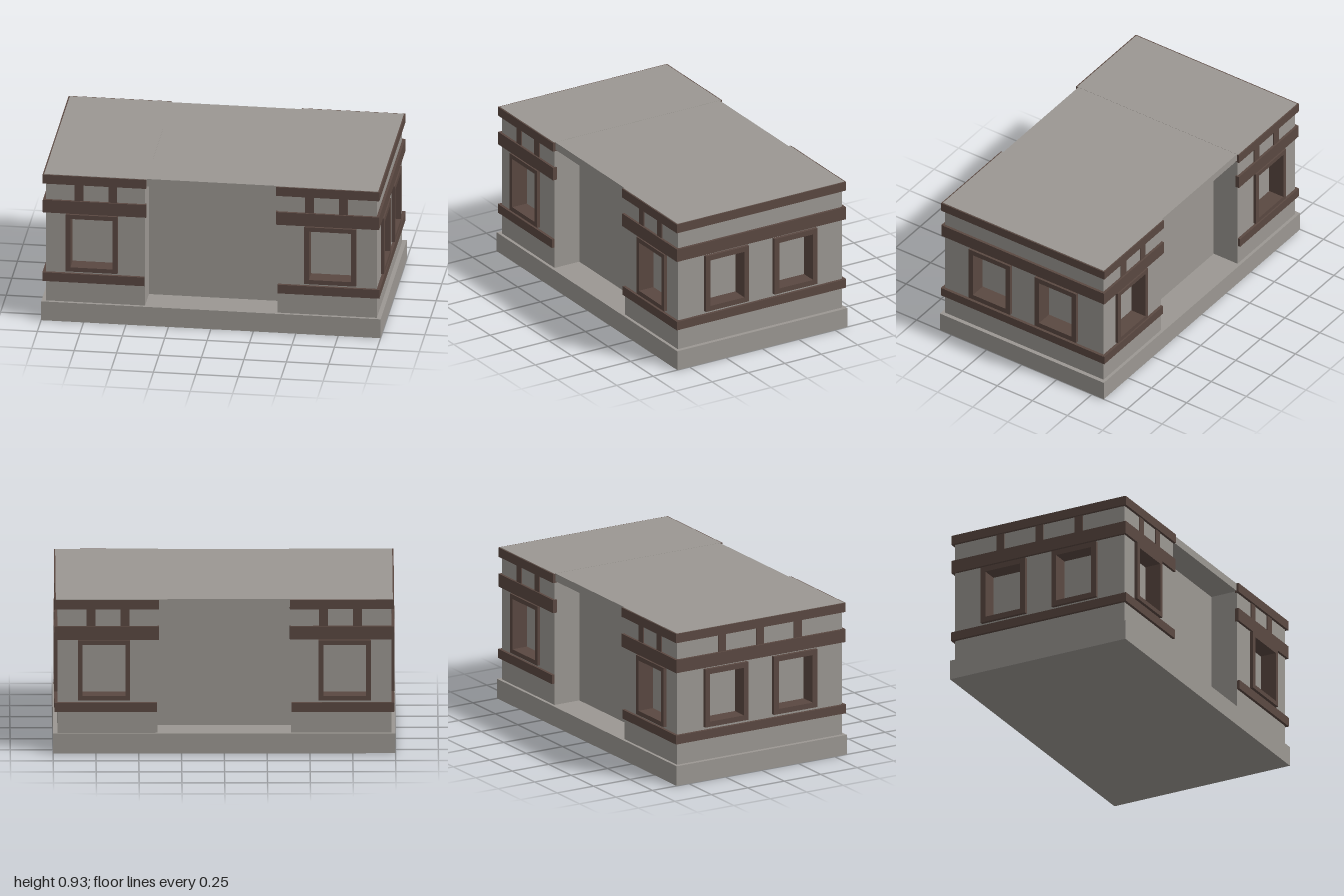
import * as THREE from 'three';

const stone = new THREE.MeshStandardMaterial({ color: 0x9b9792 });
stone.name = 'stone';
const timber = new THREE.MeshStandardMaterial({ color: 0x5a4841 });
timber.name = 'timber';

const DEPTH = 0.08; // wall thickness in front of the window panes
const WALL_X = 0.975, WALL_Z = 0.565, DOOR = 0.39, DOOR_Z = 0.395;
const BASE = 0.12, CEILING = 0.88, TOP = 0.928;

function add(parent, name, geometry, material) {
  const mesh = new THREE.Mesh(geometry, material);
  mesh.name = name;
  parent.add(mesh);
  return mesh;
}

// Box given by its minimum and maximum on each axis
function box(parent, name, material, x0, x1, y0, y1, z0, z1) {
  const mesh = add(parent, name, new THREE.BoxGeometry(x1 - x0, y1 - y0, z1 - z0), material);
  mesh.position.set((x0 + x1) / 2, (y0 + y1) / 2, (z0 + z1) / 2);
}

function rectangle(target, x0, x1, y0, y1) {
  target.moveTo(x0, y0);
  target.lineTo(x1, y0);
  target.lineTo(x1, y1);
  target.lineTo(x0, y1);
  target.closePath();
  return target;
}

// Upright sheet with rectangular openings, running from z0 to z1
function sheet(parent, name, material, outer, holes, z0, z1) {
  const shape = rectangle(new THREE.Shape(), ...outer);
  holes.forEach((h) => shape.holes.push(rectangle(new THREE.Path(), ...h)));
  const geometry = new THREE.ExtrudeGeometry(shape, { depth: z1 - z0, bevelEnabled: false });
  geometry.translate(0, 0, z0);
  add(parent, name, geometry, material);
}

// Deep window frame lining its opening in the wall
function windowFrame(parent, outer, inner, wall) {
  sheet(parent, 'windowFrame', timber, outer, [inner], wall - DEPTH, wall + 0.02);
}

// Front or back: two wings either side of the recessed entrance
function entranceFace() {
  const face = new THREE.Group();
  for (const s of [-1, 1]) {
    const span = (a, b) => (s > 0 ? [a, b] : [-b, -a]);
    const outer = [...span(0.55, 0.855), 0.32, 0.682];
    const inner = [...span(0.578, 0.827), 0.347, 0.655];
    sheet(face, 'wingWall', stone, [...span(DOOR, WALL_X), BASE, CEILING], [outer], WALL_Z - DEPTH, WALL_Z);
    windowFrame(face, outer, inner, WALL_Z);
    box(face, 'lowerBeam', timber, ...span(0.392, 0.992), 0.25, 0.305, WALL_Z - 0.01, 0.582);
    box(face, 'middleBeam', timber, ...span(0.382, 0.99), 0.686, 0.766, WALL_Z - 0.01, 0.58);
    box(face, 'topBeam', timber, ...span(0.382, 0.99), 0.87, TOP - 0.002, WALL_Z - 0.01, 0.581);
    box(face, 'roofEdge', stone, ...span(0.382, 0.984), TOP - 0.005, TOP, 0, 0.573);
    for (const x of [0.58, 0.778]) {
      box(face, 'shortPost', timber, ...span(x - 0.026, x + 0.026), 0.76, 0.875, WALL_Z - 0.01, WALL_Z + 0.006);
    }
  }
  return face;
}

// Side: two windows under full-width beams, optionally with short posts
function sideFace(withPosts) {
  const face = new THREE.Group();
  const half = WALL_Z - DEPTH;
  const outers = [], inners = [];
  for (const s of [-1, 1]) {
    const span = (a, b) => (s > 0 ? [a, b] : [-b, -a]);
    outers.push([...span(0.087, 0.384), 0.322, 0.677]);
    inners.push([...span(0.12, 0.352), 0.354, 0.645]);
  }
  sheet(face, 'sideWall', stone, [-half, half, BASE, CEILING], outers, WALL_X - DEPTH, WALL_X);
  outers.forEach((outer, i) => windowFrame(face, outer, inners[i], WALL_X));
  box(face, 'sideLowerBeam', timber, -0.581, 0.581, 0.251, 0.304, WALL_X - 0.01, 0.993);
  box(face, 'sideMiddleBeam', timber, -0.579, 0.579, 0.687, 0.765, WALL_X - 0.01, 0.991);
  box(face, 'sideTopBeam', timber, -0.58, 0.58, 0.871, TOP - 0.002, WALL_X - 0.01, 0.992);
  if (withPosts) {
    for (const x of [-0.26, 0, 0.26]) {
      box(face, 'sideShortPost', timber, x - 0.026, x + 0.026, 0.76, 0.875, WALL_X - 0.01, WALL_X + 0.006);
    }
  }
  return face;
}

export function createModel() {
  const model = new THREE.Group();
  model.name = 'building';

  // Plinth and roof slab
  box(model, 'plinth', stone, -1, 1, 0, BASE, -0.584, 0.584);
  box(model, 'roofSlab', stone, -WALL_X, WALL_X, CEILING, TOP - 0.001, -WALL_Z, WALL_Z);

  // Inner core: H-shaped plan, its faces forming panes and recess walls
  const cx = WALL_X - DEPTH, cz = WALL_Z - DEPTH;
  const plan = new THREE.Shape([
    [-cx, -cz], [-DOOR, -cz], [-DOOR, -DOOR_Z], [DOOR, -DOOR_Z], [DOOR, -cz], [cx, -cz],
    [cx, cz], [DOOR, cz], [DOOR, DOOR_Z], [-DOOR, DOOR_Z], [-DOOR, cz], [-cx, cz],
  ].map(([x, z]) => new THREE.Vector2(x, z)));
  const core = new THREE.ExtrudeGeometry(plan, { depth: CEILING - BASE, bevelEnabled: false });
  core.rotateX(-Math.PI / 2).translate(0, BASE, 0);
  add(model, 'innerCore', core, stone);

  // Four outer faces; only the -x side carries short posts
  const faces = [
    ['frontFace', entranceFace(), 0],
    ['backFace', entranceFace(), Math.PI],
    ['leftFace', sideFace(false), Math.PI / 2],
    ['rightFace', sideFace(true), -Math.PI / 2],
  ];
  for (const [name, face, turn] of faces) {
    face.name = name;
    face.rotation.y = turn;
    model.add(face);
  }
  return model;
}
